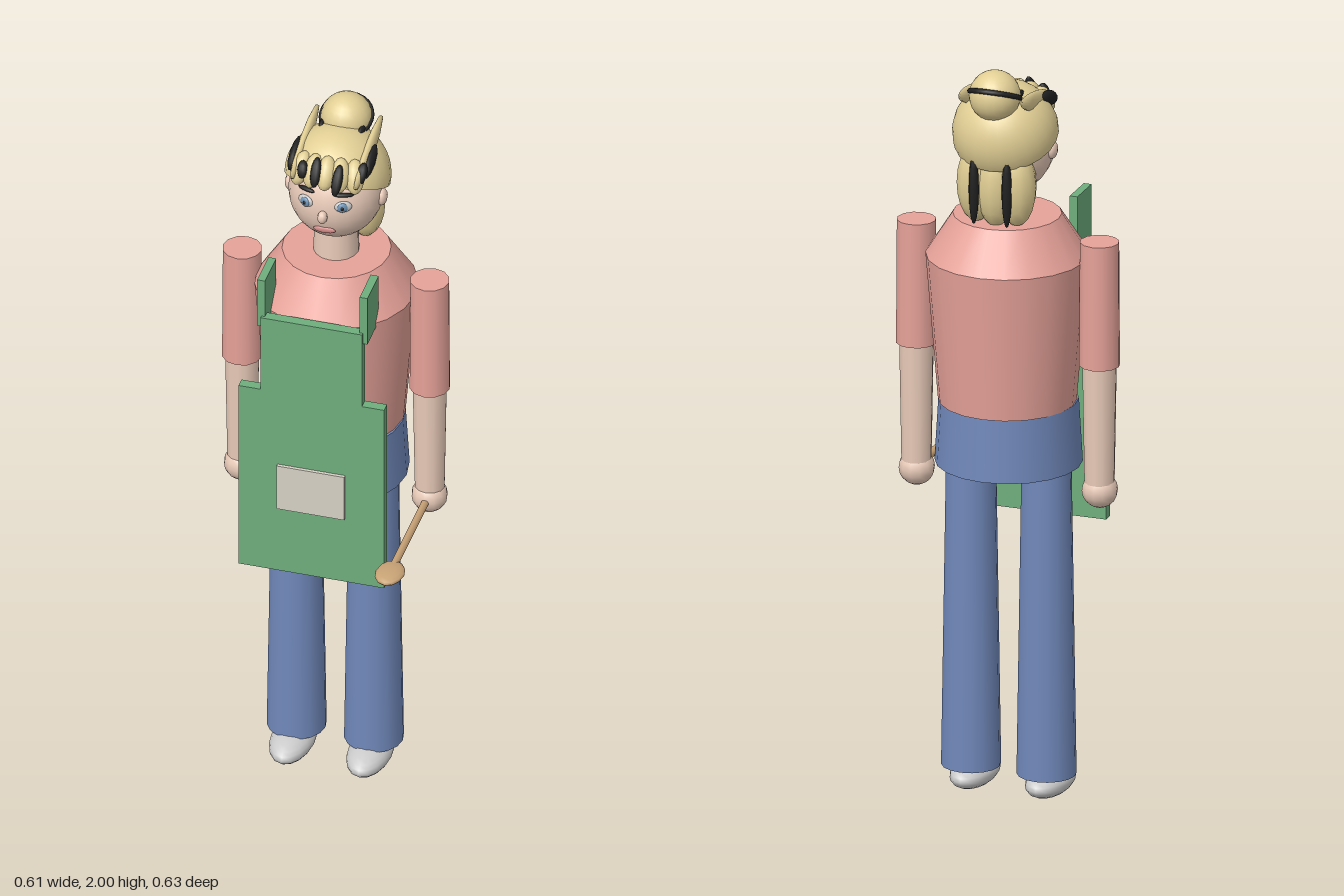
import * as THREE from 'three';

const mat = (color) => new THREE.MeshStandardMaterial({ color });

export function createModel() {
  const model = new THREE.Group();
  const skin = mat(0xe9cbb9), hair = mat(0xe2cf95), dark = mat(0x202020), shirt = mat(0xe6a299);
  const denim = mat(0x7088ba), green = mat(0x6fae7e), wood = mat(0xc9a376), white = mat(0xdcdcdc);
  const pocketCloth = mat(0xd8d2c6), blue = mat(0x6f93b5), lip = mat(0xd08a86);
  const C = -0.105; // depth of the body axis

  const add = (name, geo, material, x, y, z, rx = 0, ry = 0, rz = 0) => {
    const m = new THREE.Mesh(geo, material);
    m.name = name;
    m.position.set(x, y, z);
    m.rotation.set(rx, ry, rz);
    model.add(m);
    return m;
  };
  const blob = (name, material, p, r, rot = [0, 0, 0], w = 16, h = 12) =>
    add(name, new THREE.SphereGeometry(1, w, h).scale(...r), material, ...p, ...rot);
  const tube = (name, material, x, z, y0, y1, r0, r1, sides) =>
    add(name, new THREE.CylinderGeometry(r1, r0, y1 - y0, sides), material, x, (y0 + y1) / 2, z);
  const box = (name, material, x0, x1, y0, y1, z0, z1) =>
    add(name, new THREE.BoxGeometry(x1 - x0, y1 - y0, z1 - z0), material,
      (x0 + x1) / 2, (y0 + y1) / 2, (z0 + z1) / 2);

  // Torso
  tube('hips', denim, 0, C + 0.008, 0.91, 1.08, 0.19, 0.18, 20);
  tube('shirtBody', shirt, 0, C - 0.002, 1.08, 1.475, 0.178, 0.21, 20);
  tube('shirtShoulders', shirt, 0, C - 0.002, 1.475, 1.585, 0.21, 0.14, 20);
  tube('neck', skin, 0, C, 1.56, 1.69, 0.06, 0.056, 16);

  // Limbs
  for (const s of [-1, 1]) {
    tube('trouserLeg', denim, s * 0.103, -0.096, 0.07, 0.93, 0.077, 0.064, 16);
    blob('shoe', white, [s * 0.103, 0.043, -0.066], [0.057, 0.038, 0.112]);
    tube('sleeve', shirt, s * 0.25, C + 0.003, 1.2, 1.535, 0.053, 0.051, 12);
    tube('forearm', skin, s * 0.25, C + 0.003, 0.87, 1.22, 0.039, 0.045, 12);
    blob('hand', skin, [s * 0.25, 0.86, C + 0.005], [0.047, 0.047, 0.047], [0, 0, 0], 12, 10);
    box('apronStrap', green, s * 0.1365 - 0.0105, s * 0.1365 + 0.0105, 1.46, 1.605, 0.012, 0.115);
  }

  // Apron: one stepped panel with a pocket
  const half = [[0.194, 0.705], [0.194, 1.267], [0.135, 1.267], [0.135, 1.493]];
  const outline = [...half, ...half.map(([x, y]) => [-x, y]).reverse()].map(p => new THREE.Vector2(...p));
  add('apron', new THREE.ExtrudeGeometry(new THREE.Shape(outline), { depth: 0.027, bevelEnabled: false }),
    green, 0, 0, 0.096);
  box('apronPocket', pocketCloth, -0.09, 0.09, 0.905, 1.04, 0.115, 0.132);

  // Spoon in the left hand
  add('spoonHandle', new THREE.CylinderGeometry(0.0105, 0.0105, 0.33, 8), wood, 0.25, 0.86, 0.065, Math.PI / 2);
  blob('spoonBowl', wood, [0.25, 0.86, 0.261], [0.038, 0.013, 0.054], [0, 0, 0], 12, 8);

  // Head and face
  const HY = 1.775, R = [0.123, 0.13, 0.122];
  const onFace = (x, y, out = 0) =>
    [x, y, C + R[2] * Math.sqrt(1 - (x / R[0]) ** 2 - ((y - HY) / R[1]) ** 2) + out];
  blob('head', skin, [0, HY, C], R, [0, 0, 0], 24, 18);
  blob('nose', skin, onFace(0, 1.767, 0.005), [0.013, 0.018, 0.016], [0, 0, 0], 10, 8);
  blob('mouth', lip, onFace(0, 1.717, 0), [0.03, 0.01, 0.006], [0, 0, 0], 12, 8);
  for (const s of [-1, 1]) {
    blob('ear', skin, [s * 0.122, 1.77, C], [0.014, 0.024, 0.022], [0, 0, 0], 10, 8);
    blob('eyeWhite', white, onFace(s * 0.05, 1.798, -0.001), [0.023, 0.016, 0.009], [0, s * 0.4, 0]);
    blob('iris', blue, onFace(s * 0.05, 1.798, 0.005), [0.014, 0.014, 0.006], [0, s * 0.4, 0]);
    blob('pupil', dark, onFace(s * 0.05, 1.798, 0.009), [0.006, 0.006, 0.004], [0, s * 0.4, 0], 8, 6);
    blob('eyebrow', dark, onFace(s * 0.05, 1.83, 0.003), [0.027, 0.006, 0.007], [0, s * 0.4, -s * 0.05], 10, 6);
  }

  // Hair cap, tilted back so that the face stays free
  const capMat = mat(0xe2cf95);
  capMat.side = THREE.DoubleSide;
  add('hairCap', new THREE.SphereGeometry(0.137, 24, 14, 0, Math.PI * 2, 0, 1.67), capMat, 0, 1.81, -0.12, -0.44);

  // Fringe and long side locks
  for (let i = -2; i <= 2; i++) {
    blob('fringeLock', hair, [i * 0.036, 1.883 - 0.002 * i * i, -0.012 - 0.004 * i * i],
      [0.025, 0.046, 0.024], [-0.6, 0, i * 0.08], 12, 8);
  }
  for (const s of [-1, 1]) {
    blob('sideLock', hair, [s * 0.085, 1.9, -0.106], [0.013, 0.027, 0.132], [0.25, 0, 0], 10, 12);
    blob('templeStreak', dark, [s * 0.097, 1.893, s > 0 ? -0.08 : -0.06], [0.014, 0.02, 0.055],
      [0.35, 0, 0], 10, 8);
    blob('crownStreak', dark, [s * 0.052, 1.927, -0.155], [0.009, 0.014, 0.028], [0.2, 0, 0], 8, 6);
    blob('backLock', hair, [s * 0.055, 1.69, -0.185], [0.052, 0.108, 0.05], [0, 0, 0], 12, 10);
    blob('backStreak', dark, [s * 0.045, 1.685, -0.232], [0.014, 0.095, 0.013], [0, 0, 0], 8, 10);
  }
  blob('backLock', hair, [0, 1.685, -0.19], [0.05, 0.11, 0.052], [0, 0, 0], 12, 10);

  // Dark streaks over the fringe: x, y, z, half length
  for (const [x, y, z, l] of [[-0.06, 1.89, -0.002, 0.024], [-0.023, 1.892, 0.004, 0.04],
    [0.036, 1.882, 0.01, 0.042], [0.09, 1.888, -0.028, 0.03]]) {
    blob('fringeStreak', dark, [x, y, z], [0.014, l, 0.014], [-0.6, 0, -x], 10, 8);
  }

  // Bun with its tie
  blob('bun', hair, [0, 1.933, -0.198], [0.067, 0.067, 0.067], [0, 0, 0], 20, 14);
  add('bunTie', new THREE.TorusGeometry(0.065, 0.007, 8, 28), dark, 0, 1.936, -0.198, -1.15);

  return model;
}
